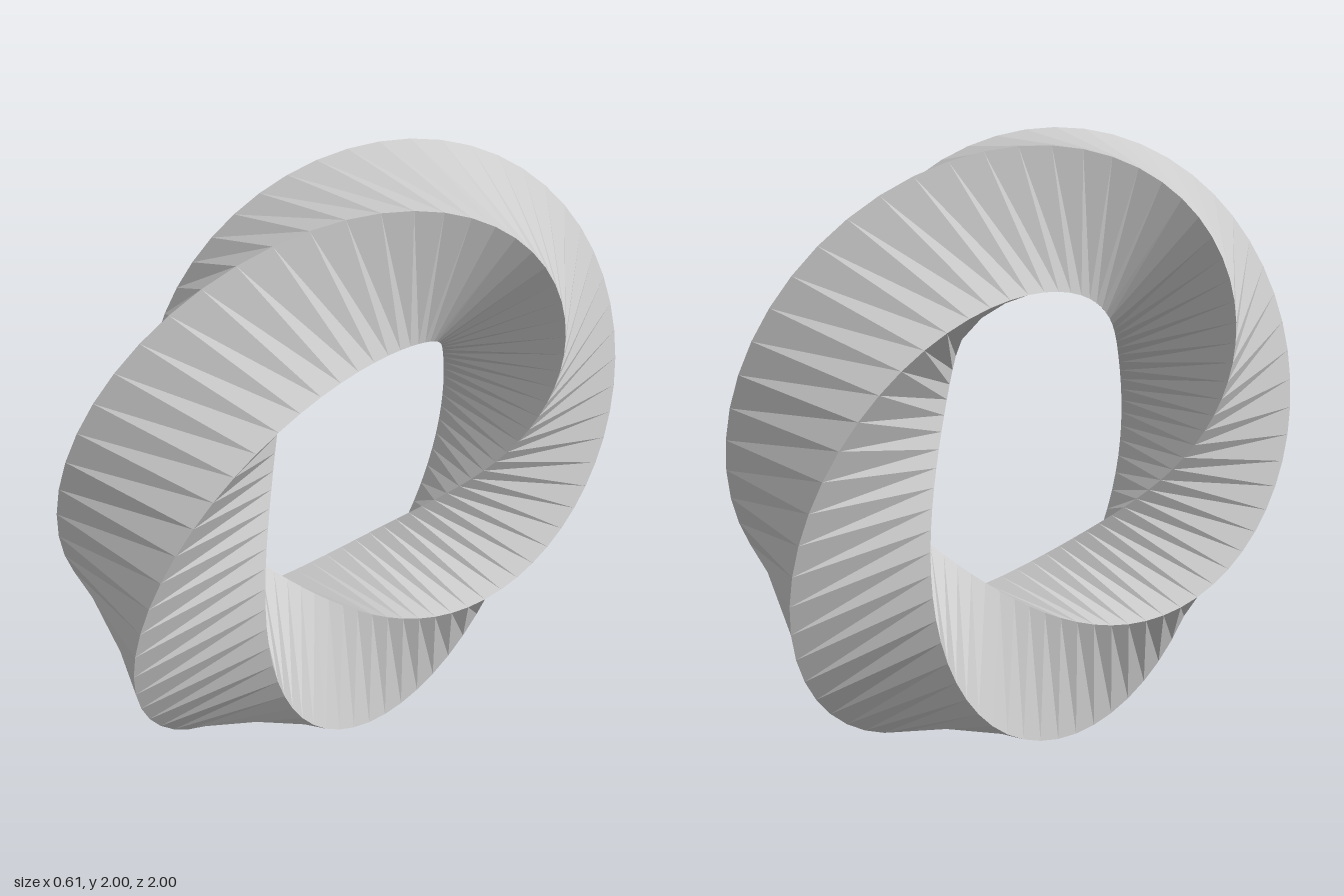
import * as THREE from 'three';

const SEGMENTS = 64;
const RING = 0.766;        // radius of the ring's centre line
const HALF_DIAGONAL = 0.304; // centre to corner of the square section

// Corner k of the square section at step i; the section makes one full turn per lap
function corner(i, k) {
  const phi = (i / SEGMENTS) * Math.PI * 2;
  const a = phi + Math.PI / 4 + (k * Math.PI) / 2;
  const r = RING + HALF_DIAGONAL * Math.cos(a);
  return [HALF_DIAGONAL * Math.sin(a), 1 + r * Math.sin(phi), r * Math.cos(phi)];
}

export function createModel() {
  const group = new THREE.Group();
  group.name = 'twistedSquareRing';

  // Four ribbons of quads, one for each side of the square section
  const positions = [];
  for (let i = 0; i < SEGMENTS; i++) {
    for (let k = 0; k < 4; k++) {
      const a = corner(i, k);
      const b = corner(i, k + 1);
      const c = corner(i + 1, k + 1);
      const d = corner(i + 1, k);
      positions.push(...a, ...b, ...c, ...a, ...c, ...d);
    }
  }
  const geometry = new THREE.BufferGeometry();
  geometry.setAttribute('position', new THREE.Float32BufferAttribute(positions, 3));
  geometry.computeVertexNormals();

  const ring = new THREE.Mesh(
    geometry,
    new THREE.MeshStandardMaterial({ color: 0xcccccc, flatShading: true })
  );
  ring.name = 'twistedRing';
  group.add(ring);
  return group;
}
